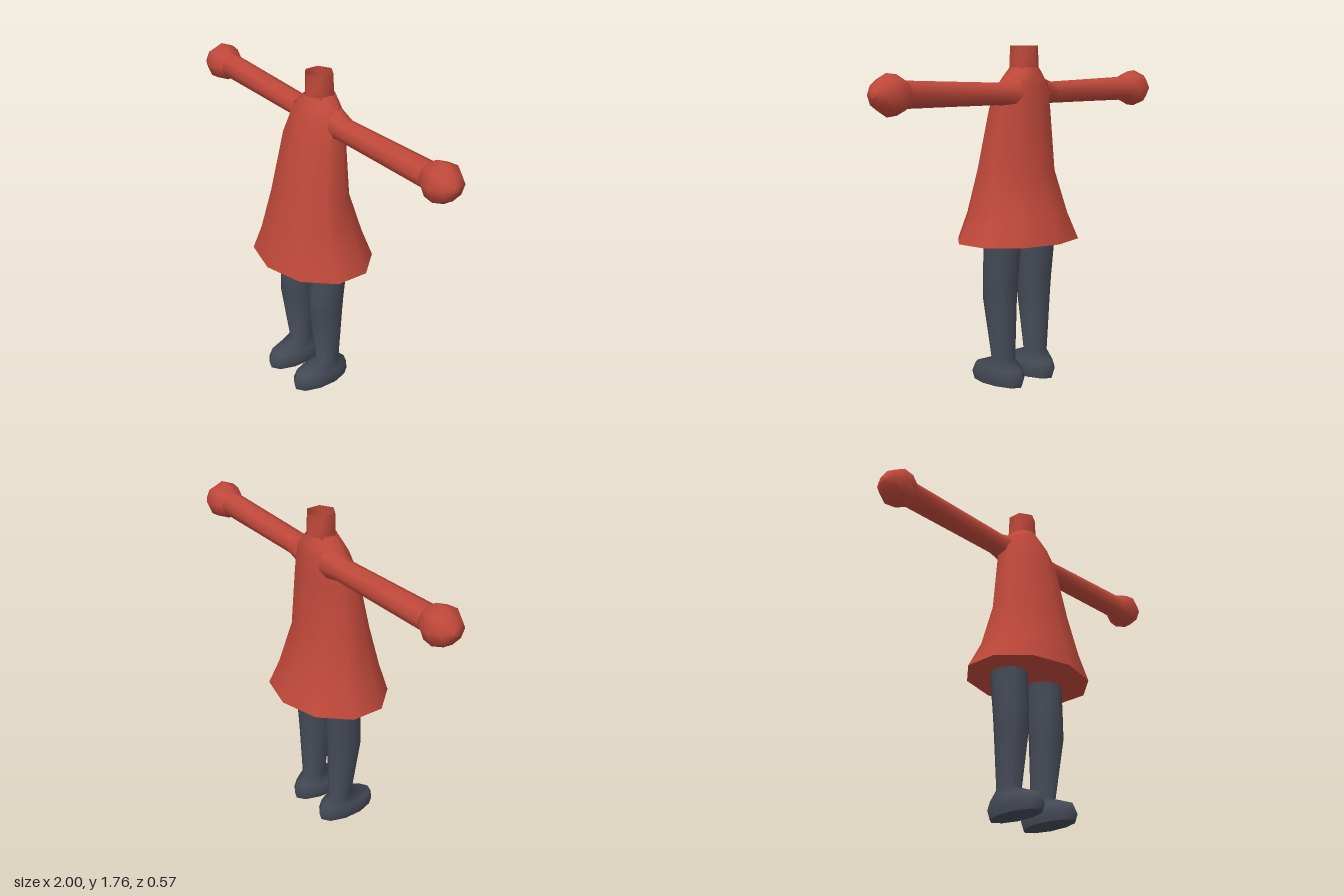
import * as THREE from 'three';

const red = new THREE.MeshStandardMaterial({ color: 0xbf483a, side: THREE.DoubleSide });
red.name = 'red cloth';
const slate = new THREE.MeshStandardMaterial({ color: 0x454a56 });
slate.name = 'slate grey';

// Skins upright rings [y, centreX, halfWidth, frontZ, backZ], listed from bottom to top.
function loft(rings, sides, { bottom = false, top = false } = {}) {
  const pos = [], idx = [];
  const widest = Math.max(...Array.from({ length: sides }, (_, i) => Math.sin(i / sides * Math.PI * 2)));
  const addRing = ([y, cx, w, zf, zb]) => {
    const start = pos.length / 3;
    for (let i = 0; i < sides; i++) {
      const a = i / sides * Math.PI * 2;
      pos.push(cx + w * Math.sin(a) / widest, y, (zf + zb) / 2 - (zf - zb) / 2 * Math.cos(a));
    }
    return start;
  };
  const starts = rings.map(addRing);
  for (let r = 0; r + 1 < starts.length; r++) {
    for (let i = 0; i < sides; i++) {
      const j = (i + 1) % sides, a = starts[r], b = starts[r + 1];
      idx.push(a + i, b + i, a + j, a + j, b + i, b + j);
    }
  }
  // Caps get their own corners, which keeps the rim sharp
  const cap = (ring, up) => {
    const s = addRing(ring);
    for (let i = 1; i + 1 < sides; i++) {
      if (up) idx.push(s, s + i + 1, s + i);
      else idx.push(s, s + i, s + i + 1);
    }
  };
  if (bottom) cap(rings[0], false);
  if (top) cap(rings[rings.length - 1], true);
  const g = new THREE.BufferGeometry();
  g.setAttribute('position', new THREE.Float32BufferAttribute(pos, 3));
  g.setIndex(idx);
  g.computeVertexNormals();
  return g;
}

export function createModel() {
  const model = new THREE.Group();
  model.name = 'figure';
  const add = (name, geometry, material) => {
    const mesh = new THREE.Mesh(geometry, material);
    mesh.name = name;
    model.add(mesh);
  };

  // Flared dress, closed at the hem
  add('dress', loft([
    [0.76, 0, 0.345, 0.29, -0.285],
    [0.90, 0, 0.275, 0.255, -0.237],
    [1.12, 0, 0.225, 0.197, -0.162],
    [1.44, 0, 0.18, 0.13, -0.147],
    [1.56, 0, 0.155, 0.08, -0.138],
    [1.60, 0, 0.12, 0.062, -0.13],
    [1.65, 0, 0.067, 0.04, -0.12],
  ], 10, { bottom: true }), red);

  // Hollow neck and its recessed floor
  add('neck', loft([[1.64, 0, 0.067, 0.04, -0.12], [1.76, 0, 0.065, 0.036, -0.113]], 6), red);
  add('neckFloor', loft([[1.65, 0, 0.06, 0.03, -0.11], [1.66, 0, 0.06, 0.03, -0.11]], 6, { top: true }), red);

  for (const s of [1, -1]) {
    const side = s > 0 ? 'left' : 'right';

    // Sleeve and rounded fist: [x, centreY, half height, half depth, centreZ]
    const arm = [
      [0.10, 1.525, 0.08, 0.08, -0.05],
      [0.20, 1.52, 0.056, 0.064, -0.045],
      [0.50, 1.525, 0.06, 0.065, -0.045],
      [0.82, 1.53, 0.065, 0.066, -0.045],
    ];
    const fist = [
      [0.81, 1.53, 0.062, 0.062, -0.045],
      [0.86, 1.53, 0.094, 0.092, -0.045],
      [0.92, 1.53, 0.10, 0.10, -0.045],
      [0.975, 1.53, 0.062, 0.07, -0.045],
      [1.0, 1.53, 0.012, 0.015, -0.045],
    ];
    const sideways = (rows) => loft(
      rows.map(([x, y, h, d, z]) => [x, -s * y, h, z + d, z - d]), 8, { top: true },
    ).rotateZ(-s * Math.PI / 2);
    add(side + 'Sleeve', sideways(arm), red);
    add(side + 'Fist', sideways(fist), red);

    // Leg running into the shoe
    add(side + 'Leg', loft([
      [0.0, s * 0.12, 0.07, 0.2, -0.13],
      [0.045, s * 0.12, 0.083, 0.212, -0.142],
      [0.09, s * 0.12, 0.075, 0.19, -0.125],
      [0.14, s * 0.124, 0.06, 0.055, -0.07],
      [0.46, s * 0.13, 0.08, 0.105, -0.082],
      [0.55, s * 0.13, 0.084, 0.102, -0.088],
      [0.77, s * 0.13, 0.091, 0.092, -0.11],
    ], 10, { bottom: true }), slate);
  }
  return model;
}
